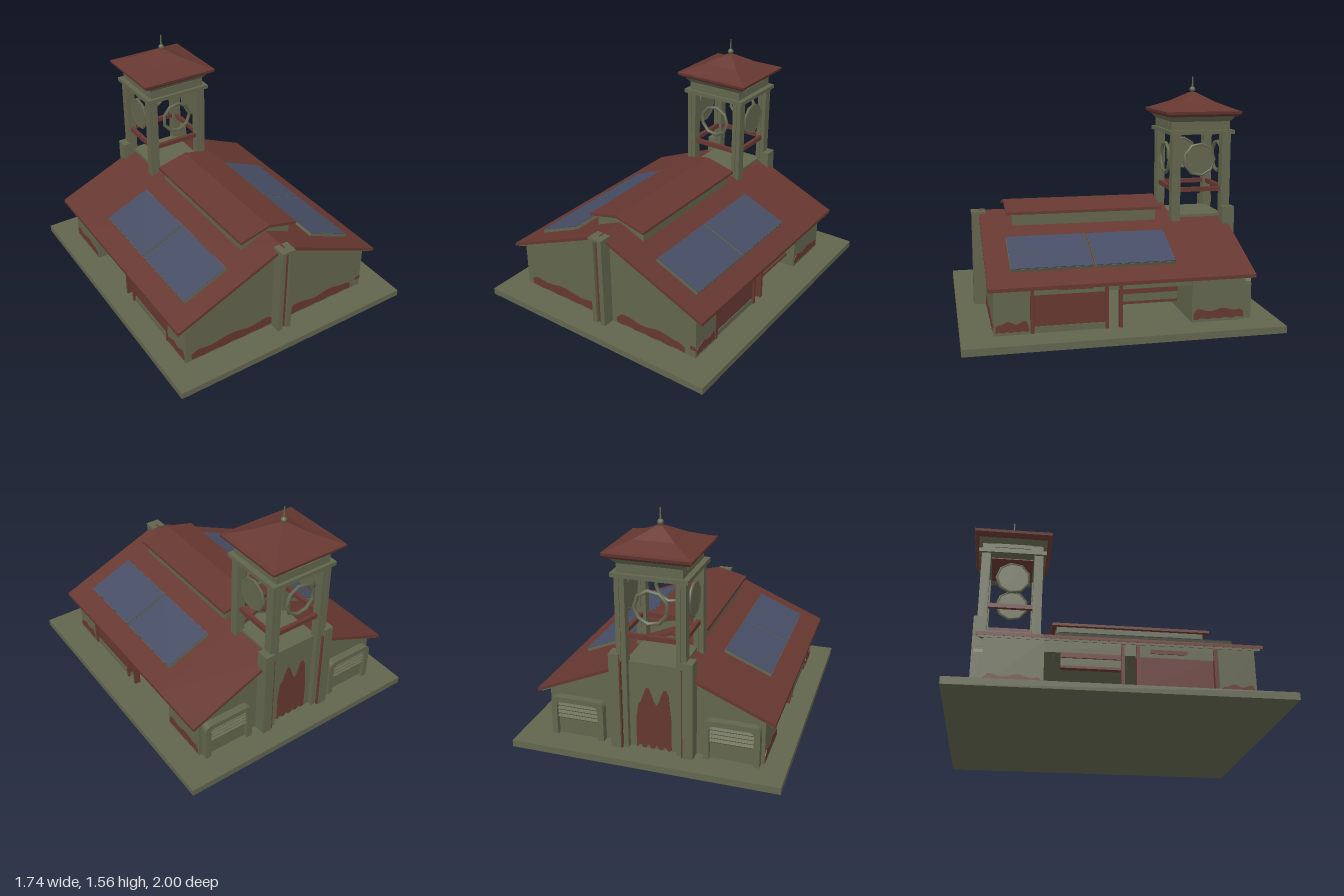
import * as THREE from 'three';

const mat = (name, color) => {
  const m = new THREE.MeshStandardMaterial({ color, side: THREE.DoubleSide });
  m.name = name;
  return m;
};

export function createModel() {
  const green = mat('olive plaster', 0x62654d);
  const red = mat('brick red', 0x663730);
  const blue = mat('solar blue', 0x464d64);

  const model = new THREE.Group();
  const hall = new THREE.Group(); // everything above the base, centred on the ridge
  hall.name = 'hall';
  hall.position.x = -0.02;
  model.add(hall);

  const add = (name, geo, m, parent = hall) => {
    const mesh = new THREE.Mesh(geo, m);
    mesh.name = name;
    parent.add(mesh);
    return mesh;
  };
  // box from min/max corners
  const box = (name, m, x0, x1, y0, y1, z0, z1, parent = hall) => {
    const b = add(name, new THREE.BoxGeometry(x1 - x0, y1 - y0, z1 - z0), m, parent);
    b.position.set((x0 + x1) / 2, (y0 + y1) / 2, (z0 + z1) / 2);
    return b;
  };
  // profile in x/y, extruded from z0 to z1
  const prism = (name, m, pts, z0, z1, parent = hall) => {
    const shape = new THREE.Shape(pts.map(p => new THREE.Vector2(...p)));
    const g = new THREE.ExtrudeGeometry(shape, { depth: z1 - z0, bevelEnabled: false });
    g.translate(0, 0, z0);
    return add(name, g, m, parent);
  };
  // square lathe with sharp edges: points are [half width, y]
  const squareLathe = (name, m, pts, parent) => {
    const v = pts.map(([r, y]) => new THREE.Vector2(r * Math.SQRT2, y));
    const g = new THREE.LatheGeometry(v, 4, Math.PI / 4).toNonIndexed();
    g.computeVertexNormals();
    return add(name, g, m, parent);
  };
  // worn strip of bare brick, facing +z
  const patch = (name, w, h, seed) => {
    const pts = [];
    const n = 14;
    for (let i = 0; i <= n; i++) pts.push([-w / 2 + w * i / n, Math.sin(i * 1.9 + seed) * h * 0.06]);
    for (let i = n; i >= 0; i--) {
      const end = i === 0 || i === n ? 0.6 : 1;
      pts.push([-w / 2 + w * i / n, h * end * (0.86 + 0.14 * Math.sin(i * 0.9 + seed * 2))]);
    }
    return prism(name, red, pts, 0, 0.004);
  };

  // base slab
  box('base', green, -0.87, 0.87, 0, 0.045, -1, 1, model);

  // gabled end blocks, the rear one cut flat under the tower
  const roofY = x => 0.685 - 0.425 * Math.abs(x);
  const W = 0.705, F = 0.045, under = 0.035;
  prism('frontWall', green,
    [[-W, F], [W, F], [W, roofY(W) - under], [0, roofY(0) - under], [-W, roofY(W) - under]], 0.58, 0.8);
  prism('rearWall', green,
    [[-W, F], [W, F], [W, roofY(W) - under], [0.2, 0.56], [-0.2, 0.56], [-W, roofY(W) - under]], -0.79, -0.44);

  // roof layers
  const chevron = (name, m, half, top, slope, t, z0, z1) => prism(name, m,
    [[-half, top - slope * half], [0, top], [half, top - slope * half],
      [half, top - slope * half - t], [0, top - t], [-half, top - slope * half - t]], z0, z1);
  chevron('roof', red, 0.772, 0.685, 0.425, 0.022, -0.45, 0.835);
  chevron('roofLining', green, 0.755, 0.664, 0.425, 0.014, -0.45, 0.82);
  for (const s of [-1, 1]) {
    const slab = (name, m, a, b, d, t, z0) => prism(name, m,
      [[s * a, roofY(a) - d], [s * b, roofY(b) - d], [s * b, roofY(b) - d - t], [s * a, roofY(a) - d - t]], z0, -0.45);
    slab('rearRoof', red, 0.17, 0.772, 0, 0.022, -0.835);
    slab('rearRoofLining', green, 0.17, 0.755, 0.021, 0.014, -0.82);
  }

  // raised ridge monitor
  prism('monitorBody', green,
    [[-0.185, 0.58], [0.185, 0.58], [0.185, 0.685], [0, 0.73], [-0.185, 0.685]], -0.34, 0.63);
  chevron('monitorRoof', red, 0.215, 0.752, 0.24, 0.018, -0.37, 0.67);

  // solar panels
  const tilt = Math.atan(0.425);
  for (const s of [-1, 1]) for (const z of [-0.095, 0.43]) {
    const panel = new THREE.Group();
    panel.name = 'solarPanel';
    panel.position.set(s * 0.483, roofY(0.483) + 0.012, z);
    panel.rotation.z = -s * tilt;
    hall.add(panel);
    box('panelFrame', green, -0.168, 0.168, -0.012, 0.008, -0.257, 0.257, panel);
    box('panelGlass', blue, -0.166, 0.166, 0.008, 0.013, -0.254, 0.254, panel);
  }

  // front pilaster
  for (const s of [-1, 1]) box('pilasterPost', green, s * 0.033 - 0.017, s * 0.033 + 0.017, F, 0.665, 0.79, 0.88);
  box('pilasterInlay', red, -0.016, 0.016, F, 0.66, 0.79, 0.86);
  box('pilasterCap', green, -0.05, 0.05, 0.665, 0.682, 0.79, 0.885);

  // bare brick along the wall feet
  patch('frontPatch', 0.62, 0.075, 1).position.set(-0.35, 0.055, 0.8);
  patch('frontPatch', 0.53, 0.075, 3).position.set(0.355, 0.055, 0.8);
  patch('frontPatch', 0.04, 0.03, 2).position.set(0.685, 0.1, 0.8);
  for (const s of [-1, 1]) for (const [z, w] of [[0.69, 0.2], [-0.615, 0.33]]) {
    const p = patch('sidePatch', w, 0.065, 4 + z);
    p.position.set(s * W, 0.065, z);
    p.rotation.y = s * Math.PI / 2;
  }

  // open side bays
  for (const s of [-1, 1]) {
    const side = (name, m, x0, x1, y0, y1, z0, z1) =>
      box(name, m, Math.min(s * x0, s * x1), Math.max(s * x0, s * x1), y0, y1, z0, z1);
    side('sideDoor', red, 0.66, 0.69, 0.08, 0.28, 0.095, 0.55);
    side('doorSill', green, 0.655, 0.695, F, 0.085, 0.095, 0.55);
    side('doorHeader', green, 0.66, 0.69, 0.28, 0.36, 0.095, 0.58);
    side('headerInlay', red, 0.69, 0.695, 0.305, 0.33, 0.18, 0.4);
    side('bayHeader', green, 0.66, 0.69, 0.285, 0.36, -0.44, 0.095);
    side('bayBand', red, 0.66, 0.695, 0.255, 0.285, -0.345, 0.02);
    side('bayPanel', green, 0.66, 0.685, 0.205, 0.255, -0.345, 0.02);
    side('bayRail', red, 0.66, 0.695, 0.19, 0.205, -0.345, 0.02);
    for (const z of [0.565, 0.105, 0.015]) side('sidePost', red, 0.665, 0.705, 0.01, 0.35, z - 0.01, z + 0.01);
  }

  // louvred rear shutters
  for (const s of [-1, 1]) {
    const vent = new THREE.Group();
    vent.name = 'rearShutter';
    vent.position.set(s * 0.505, 0, -0.79);
    hall.add(vent);
    const arch = (P, w, h, r) => {
      const p = new P();
      p.moveTo(-w, F); p.lineTo(w, F); p.lineTo(w, h - r);
      p.quadraticCurveTo(w, h, w - r, h); p.lineTo(-w + r, h);
      p.quadraticCurveTo(-w, h, -w, h - r); p.closePath();
      return p;
    };
    const frame = arch(THREE.Shape, 0.178, 0.315, 0.05);
    frame.holes.push(arch(THREE.Path, 0.14, 0.28, 0.03));
    const g = new THREE.ExtrudeGeometry(frame, { depth: 0.05, bevelEnabled: false, curveSegments: 4 });
    g.translate(0, 0, -0.05);
    add('shutterFrame', g, green, vent);
    box('shutterPanel', green, -0.14, 0.14, F, 0.165, -0.02, 0, vent);
    for (let i = 0; i < 4; i++)
      box('slat', green, -0.14, 0.14, 0.172 + i * 0.028, 0.18 + i * 0.028, -0.04, 0, vent).rotation.x = -0.5;
  }

  // bell tower
  const tower = new THREE.Group();
  tower.name = 'tower';
  tower.position.set(-0.007, 0, -0.65);
  hall.add(tower);
  const T = (name, m, ...c) => box(name, m, ...c, tower);
  T('towerBase', green, -0.18, 0.18, F, 0.63, -0.17, 0.17);
  const door = patch('towerDoor', 0.23, 0.42, 5);
  door.position.set(-0.007, 0.05, -0.82);
  door.rotation.y = Math.PI;
  for (const s of [-1, 1]) {
    T('rearPier', green, s * 0.235 - 0.033, s * 0.235 + 0.033, F, 0.69, -0.225, -0.14);
    T('pierInlay', red, s * 0.2 - 0.007, s * 0.2 + 0.007, F, 0.64, -0.221, -0.2);
    for (const t of [-1, 1]) {
      // each post is a pair of slim uprights
      for (const d of [-0.017, 0.017])
        T('towerPost', green, s * 0.19 + d - 0.015, s * 0.19 + d + 0.015, t < 0 ? F : 0.5, 1.185, t * 0.175 - 0.03, t * 0.175 + 0.03);
      T('postCore', green, s * 0.19 - 0.02, s * 0.19 + 0.02, t < 0 ? F : 0.5, 1.185, t * 0.175 - 0.024, t * 0.175 + 0.024);
    }
    T('sideRail', red, s * 0.19 - 0.013, s * 0.19 + 0.013, 0.79, 0.82, -0.15, 0.15);
    T('crossRail', red, -0.165, 0.165, 0.79, 0.82, s * 0.175 - 0.013, s * 0.175 + 0.013);

    // open rings front and rear, filled dials on the sides
    const ring = add('openRing', new THREE.TorusGeometry(0.105, 0.013, 6, 9), green, tower);
    ring.position.set(0, 1.005, s * 0.19);
    const dial = add('dial', new THREE.CylinderGeometry(0.105, 0.105, 0.016, 9), green, tower);
    dial.rotation.z = Math.PI / 2;
    dial.position.set(s * 0.205, 1.01, 0.01);
    const rim = add('dialRim', new THREE.TorusGeometry(0.106, 0.011, 6, 9), green, tower);
    rim.rotation.y = Math.PI / 2;
    rim.position.copy(dial.position);
    T('friezePlate', green, -0.13, 0.13, 1.237, 1.265, s * 0.206 - 0.004, s * 0.206 + 0.004);
    T('friezePlate', green, s * 0.206 - 0.004, s * 0.206 + 0.004, 1.237, 1.265, -0.12, 0.12);
  }
  T('cornice', green, -0.24, 0.24, 1.182, 1.208, -0.225, 0.225);
  T('ceiling', red, -0.16, 0.16, 1.176, 1.182, -0.14, 0.14);
  squareLathe('towerNeck', green, [[0, 1.2], [0.204, 1.2], [0.204, 1.265], [0.235, 1.305], [0, 1.305]], tower);
  squareLathe('towerRoof', red,
    [[0, 1.3], [0.25, 1.3], [0.272, 1.318], [0.276, 1.336], [0.25, 1.342], [0.13, 1.39], [0.02, 1.452], [0, 1.455]],
    tower).scale.z = 0.95;

  // finial
  add('finialBall', new THREE.SphereGeometry(0.02, 10, 8), green, tower).position.y = 1.472;
  add('finialSpike', new THREE.CylinderGeometry(0.004, 0.007, 0.1, 8), green, tower).position.y = 1.51;

  return model;
}
